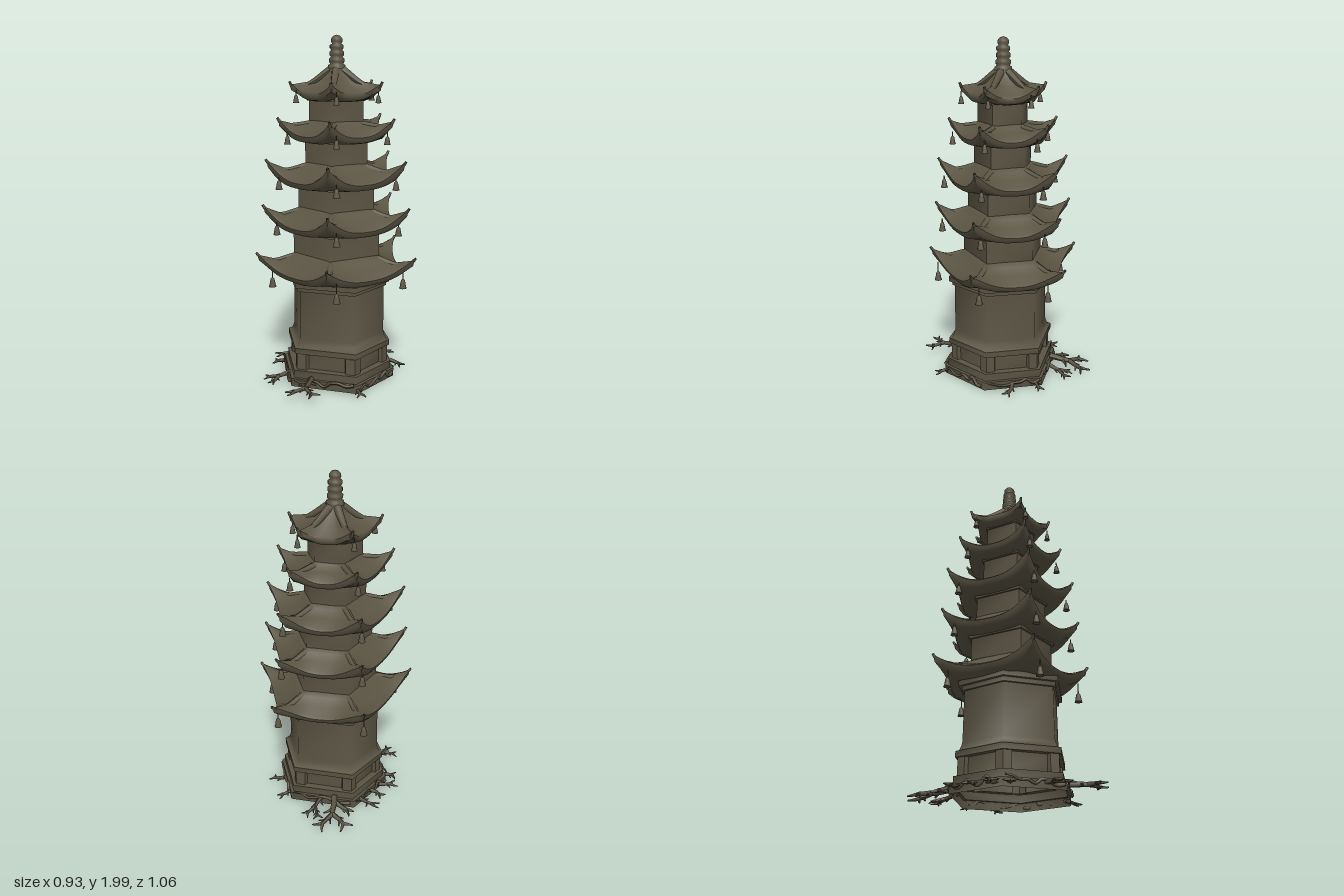
import * as THREE from 'three';
import { mergeGeometries, toCreasedNormals } from 'three/addons/utils/BufferGeometryUtils.js';

// Double-sided because the base is an open shell
const stone = new THREE.MeshStandardMaterial({ color: 0x5a5443, side: THREE.DoubleSide });
stone.name = 'weatheredStone';

// Tower axis, and the corners (as x, z) of the uneven five-sided roofs, storeys and bells
const CX = -0.02, CZ = 0.01;
const TIPS = [[0.48, 0.06], [0.06, 0.44], [-0.44, 0.18], [-0.25, -0.39], [0.27, -0.42]];
const WALLS = [[0.48, 0.06], [0.05, 0.44], [-0.44, 0.17], [-0.24, -0.37], [0.26, -0.385]];
const BELLS = [[0.405, 0.035], [0.1, 0.38], [-0.335, 0.2], [-0.235, -0.305], [0.265, -0.325]];
// How far each roof edge bows out between its corners
const BOW = [1.04, 1.05, 1.04, 0.95, 1];
// Six-sided ground storey with broad front and back, on its own centre
const HEX = [[1, 0.03], [0.56, 0.87], [-0.58, 0.87], [-1, -0.03], [-0.56, -0.87], [0.58, -0.87]];
const HX = -0.01, HZ = 0.022;

let seed = 7;
const rnd = () => (seed = (seed * 16807) % 2147483647) / 2147483647;

// Skin closed rings of points, ordered upward on the outside
function loft(rings, crease) {
  const pos = [];
  for (let j = 0; j < rings.length - 1; j++) {
    const lo = rings[j], hi = rings[j + 1], n = lo.length;
    for (let i = 0; i < n; i++) {
      const k = (i + 1) % n;
      for (const p of [lo[i], hi[i], lo[k], lo[k], hi[i], hi[k]]) pos.push(p[0], p[1], p[2]);
    }
  }
  const g = new THREE.BufferGeometry();
  g.setAttribute('position', new THREE.Float32BufferAttribute(pos, 3));
  g.computeVertexNormals();
  return toCreasedNormals(g, crease);
}

// Wall from [scale, height] sections of a plan
const walls = (plan, cx, cz, sections) =>
  loft(sections.map(([s, y]) => plan.map(([x, z]) => [cx + x * s, y, cz + z * s])), 1.3);

// Roof ring: own size and height at mid-side and at the corners
function roofRing(size, [mid, corner, yMid, yCorner]) {
  const n = 16, ring = [];
  TIPS.forEach((a, k) => {
    const b = TIPS[(k + 1) % 5];
    for (let i = 0; i < n; i++) {
      const t = i / n, c = Math.abs(2 * t - 1), m = mid * BOW[k];
      const s = size * (m + (corner - m) * c ** 4);
      const y = yMid + (yCorner - yMid) * c ** 2.6;
      ring.push([CX + (a[0] + (b[0] - a[0]) * t) * s, y, CZ + (a[1] + (b[1] - a[1]) * t) * s]);
    }
  });
  return ring;
}

// size, eave underside, roof top, size of the roof top, corner tip height
const ROOFS = [
  [1, 0.62, 0.757, 0.53, 0.765],
  [0.91, 0.895, 1.03, 0.46, 1.05],
  [0.86, 1.155, 1.29, 0.37, 1.315],
  [0.71, 1.41, 1.53, 0.32, 1.55],
  [0.56, 1.64, 1.832, 0.08, 1.75],
];

function roof([size, y0, y1, top, tip]) {
  const inner = top / size, last = inner < 0.3;
  const m = last ? 0.42 : (inner + 0.88) / 2;
  const ySlope = last ? y0 + 0.09 : y0 + 0.08;
  return loft([
    [0.25, 0.25, y0 + 0.01, y0 + 0.01],
    [0.7, 0.7, y0, y0 + 0.015],
    [0.84, 0.87, y0 + 0.008, y0 + 0.055],
    [0.87, 0.97, y0 + 0.02, tip - 0.05],
    [0.89, 0.99, y0 + 0.04, tip - 0.01],
    [0.85, 0.95, y0 + 0.052, tip - 0.02],
    [m, m + 0.05, ySlope, ySlope + 0.02],
    [inner + 0.06, inner + 0.06, y1 - 0.022, y1 - 0.012],
    [inner, inner, y1, y1],
    [0, 0, y1, y1],
  ].map(r => roofRing(size, r)), 0.9);
}

// Tube that narrows along its path
function taperedTube(points, radius, end, segs = 6, sides = 5) {
  const curve = new THREE.CatmullRomCurve3(points);
  const g = new THREE.TubeGeometry(curve, segs, radius, sides);
  const p = g.attributes.position, v = new THREE.Vector3();
  for (let i = 0; i < p.count; i++) {
    const u = Math.floor(i / (sides + 1)) / segs;
    v.fromBufferAttribute(p, i).lerp(curve.getPointAt(u), u * (1 - end));
    p.setXYZ(i, v.x, v.y, v.z);
  }
  g.computeVertexNormals();
  return g;
}

// Rounded ridge half sunk along each corner, curling up at the tip
function ridges([size, y0, y1, top, tip]) {
  const inner = top / size, mid = (inner + 1) / 2;
  const yMid = inner < 0.3 ? y0 + 0.092 : y0 + 0.09;
  return mergeGeometries(TIPS.map(([x, z]) => taperedTube(
    [[inner, y1 - 0.025], [mid, yMid], [0.9, tip - 0.048], [0.97, tip - 0.022], [1, tip - 0.004]]
      .map(([s, y]) => new THREE.Vector3(CX + x * size * s, y, CZ + z * size * s)), 0.024, 0.3, 14, 8)));
}

// Forking root creeping outward; drop is how fast it sinks to the ground
function root(out, start, angle, len, radius, depth, drop) {
  const pts = [start];
  let a = angle, p = start;
  for (let i = 0; i < 3; i++) {
    a += (rnd() - 0.5) * 0.5;
    p = new THREE.Vector3(p.x + Math.cos(a) * len / 3, Math.max(0.01, p.y * drop), p.z + Math.sin(a) * len / 3);
    pts.push(p);
  }
  out.push(taperedTube(pts, radius, depth ? 0.7 : 0.35));
  if (!depth) return;
  root(out, p, a + 0.5 + rnd() * 0.3, len * 0.7, radius * 0.75, depth - 1, drop);
  root(out, p, a - 0.5 - rnd() * 0.3, len * 0.7, radius * 0.75, depth - 1, drop);
  root(out, pts[2], a + 1, len * 0.5, radius * 0.6, 0, drop);
  root(out, pts[1], a - 1, len * 0.5, radius * 0.6, 0, drop);
}

export function createModel() {
  const model = new THREE.Group();
  model.name = 'pagoda';
  const add = (name, geometry, parent = model) => {
    const mesh = new THREE.Mesh(geometry, stone);
    mesh.name = name;
    parent.add(mesh);
    return mesh;
  };

  // Hollow plinth with a recessed band, open underneath, and the ground storey
  add('plinth', walls(HEX, HX, HZ, [[0.345, 0.012], [0.345, 0.06], [0.325, 0.06], [0.325, 0.105],
    [0.28, 0.105], [0.28, 0.205], [0.317, 0.205]]));
  add('groundStorey', walls(HEX, HX, HZ, [[0, 0.21], [0.317, 0.205], [0.317, 0.238], [0.3, 0.238], [0.287, 0.265],
    [0.28, 0.29], [0.277, 0.575], [0.292, 0.575], [0.292, 0.6], [0.311, 0.6], [0.311, 0.63], [0, 0.63]]));

  // Corner posts framing one recess on each side
  HEX.forEach((c, k) => {
    const toward = (o, t, s) => [HX + (c[0] + (o[0] - c[0]) * t) * s, HZ + (c[1] + (o[1] - c[1]) * t) * s];
    const next = HEX[(k + 1) % 6], prev = HEX[(k + 5) % 6];
    const plan = [toward(prev, 0.16, 0.27), toward(prev, 0.16, 0.304), toward(c, 0, 0.304),
      toward(next, 0.16, 0.304), toward(next, 0.16, 0.27), toward(c, 0, 0.27)];
    add('cornerPost', loft([0.1, 0.21].map(y => plan.map(([x, z]) => [x, y, z])), 0.3));
  });

  // Upper storeys
  [[0.54, 0.74, 0.91], [0.475, 1.01, 1.17], [0.385, 1.27, 1.43], [0.335, 1.51, 1.66]].forEach(([s, a, b]) =>
    add('upperStorey', walls(WALLS, CX, CZ, [[s, a], [s, b - 0.02], [s * 1.06, b - 0.02], [s * 1.06, b]])));

  // Roofs with a bell near each corner
  const bellProfile = [[0, 1], [0.16, 0.98], [0.4, 0.85], [0.55, 0.5], [0.64, 0.2], [0.8, 0], [0.6, 0], [0, 0.25]]
    .reverse().map(([r, y]) => new THREE.Vector2(r * 0.028, y * 0.055));
  ROOFS.forEach(r => {
    const [size, y0] = r;
    add('roof', roof(r));
    add('roofRidges', ridges(r));
    BELLS.forEach(([x, z]) => {
      const bell = new THREE.Group(), k = 0.55 + 0.45 * size, s = size * 0.9 + 0.1;
      bell.name = 'cornerBell';
      bell.position.set(CX + x * s, y0 - 0.05 + Math.min(0.04, (1 - size) * 0.4), CZ + z * s);
      add('bellBody', new THREE.LatheGeometry(bellProfile, 10), bell).scale.setScalar(k);
      const foot = 0.052 * k, len = y0 + 0.06 - bell.position.y - foot;
      add('bellCord', new THREE.CylinderGeometry(0.0035, 0.0035, len, 5), bell).position.y = foot + len / 2;
      model.add(bell);
    });
  });

  // Beaded finial
  const finial = [[0.05, 1.815], [0.048, 1.835], [0.036, 1.843], [0.043, 1.852], [0.044, 1.87], [0.033, 1.88],
    [0.041, 1.89], [0.041, 1.908], [0.031, 1.918], [0.039, 1.928], [0.039, 1.944], [0.026, 1.952],
    [0.033, 1.965], [0.031, 1.98], [0.018, 1.995], [0, 2]].map(([r, y]) => new THREE.Vector2(r, y));
  add('finial', new THREE.LatheGeometry(finial, 18)).position.set(CX, 0, CZ);

  // Roots spreading from the plinth: x, y, z, angle, length, thickness, forks, drop
  const roots = [];
  [[-0.08, 0.07, -0.27, -1.55, 0.125, 0.021, 2, 0.84], [0, 0.06, -0.27, -1.2, 0.08, 0.015, 2, 0.84],
    [-0.1, 0.06, -0.31, -2.7, 0.07, 0.016, 1, 0.88], [-0.09, 0.07, 0.32, 1.65, 0.105, 0.018, 2, 0.98],
    [-0.25, 0.05, 0.22, 2.2, 0.08, 0.016, 2, 0.95], [-0.33, 0.04, 0.05, 3.1, 0.06, 0.014, 1, 0.95],
    [-0.32, 0.045, -0.06, 3.2, 0.075, 0.014, 1, 0.95], [-0.28, 0.045, -0.13, 3.4, 0.06, 0.013, 1, 0.95],
    [-0.23, 0.045, -0.22, 3.7, 0.08, 0.013, 1, 0.95], [0.16, 0.04, 0.29, 0.9, 0.065, 0.013, 1, 0.9],
    [0.28, 0.04, -0.12, 0, 0.06, 0.013, 1, 0.85], [0.21, 0.04, -0.24, -0.8, 0.05, 0.012, 1, 0.9],
  ].forEach(([x, y, z, a, l, r, d, drop]) => root(roots, new THREE.Vector3(x, y, z), a, l, r, d, drop));
  add('groundRoots', mergeGeometries(roots));

  // Roots winding along the plinth sides
  const vines = HEX.map((a, k) => {
    const b = HEX[(k + 1) % 6], pts = [];
    for (let i = 0; i <= 8; i++) {
      const t = 0.06 + i * 0.11, s = 0.347 + rnd() * 0.01;
      pts.push(new THREE.Vector3(HX + (a[0] + (b[0] - a[0]) * t) * s, 0.03 + rnd() * 0.045,
        HZ + (a[1] + (b[1] - a[1]) * t) * s));
    }
    return taperedTube(pts, 0.011, 0.5, 24);
  });
  add('plinthRoots', mergeGeometries(vines));
  return model;
}
